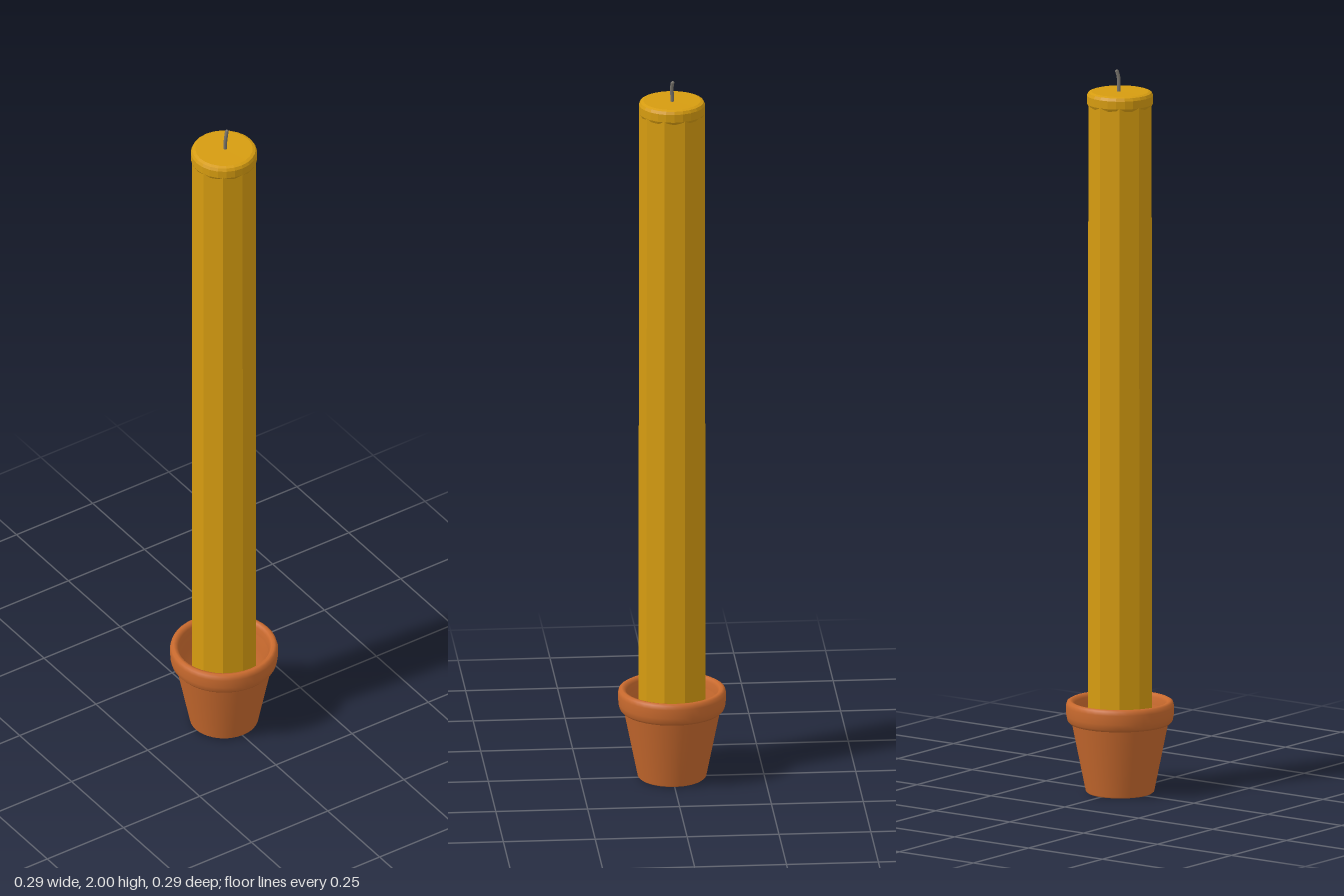
import * as THREE from 'three';

const terracotta = new THREE.MeshStandardMaterial({ color: 0xc96a2e });
terracotta.name = 'terracotta';
const wax = new THREE.MeshStandardMaterial({ color: 0xd69c10, flatShading: true });
wax.name = 'golden wax';
const cord = new THREE.MeshStandardMaterial({ color: 0x77736c });
cord.name = 'grey wick cord';

function part(name, geometry, material) {
  const mesh = new THREE.Mesh(geometry, material);
  mesh.name = name;
  return mesh;
}

function lathe(points, sides) {
  return new THREE.LatheGeometry(points.map(([r, y]) => new THREE.Vector2(r, y)), sides);
}

export function createModel() {
  const model = new THREE.Group();
  model.name = 'candleInPot';

  // Flower pot: tapered outside, overhanging rounded rim, hollow inside
  const pot = new THREE.Group();
  pot.name = 'pot';
  pot.add(part('potBase', lathe([[0, 0], [0.088, 0]], 40), terracotta));
  pot.add(part('potWall', lathe([[0.088, 0], [0.093, 0.004], [0.131, 0.192]], 40), terracotta));
  pot.add(part('potRim', lathe([
    [0.125, 0.194], [0.137, 0.193], [0.143, 0.2], [0.146, 0.215], [0.147, 0.24],
    [0.144, 0.251], [0.137, 0.255], [0.129, 0.253], [0.124, 0.245], [0.121, 0.225],
  ], 40), terracotta));
  pot.add(part('potInside', lathe([[0.121, 0.225], [0.113, 0.19], [0.086, 0.04], [0, 0.04]], 40), terracotta));
  model.add(pot);

  // Candle: long faceted shaft with a rounder shoulder on top
  const candle = new THREE.Group();
  candle.name = 'candle';
  const shaft = new THREE.CylinderGeometry(0.09, 0.091, 1.87, 10, 1, true);
  shaft.translate(0, 0.975, 0);
  candle.add(part('candleShaft', shaft, wax));
  candle.add(part('candleTop', lathe([
    [0.086, 1.9], [0.09, 1.908], [0.09, 1.93], [0.086, 1.938], [0.078, 1.941], [0, 1.94],
  ], 24), wax));
  model.add(candle);

  // Short, slightly bent wick
  const path = new THREE.CatmullRomCurve3([
    [0.004, 1.93, 0], [0.004, 1.955, 0], [0.006, 1.98, 0.001], [0.01, 1.997, -0.001],
  ].map((p) => new THREE.Vector3(...p)));
  const wick = new THREE.Group();
  wick.name = 'wick';
  wick.add(part('wickCord', new THREE.TubeGeometry(path, 10, 0.005, 8), cord));
  const tip = new THREE.SphereGeometry(0.005, 8, 6);
  tip.translate(0.01, 1.995, -0.001);
  wick.add(part('wickTip', tip, cord));
  model.add(wick);

  return model;
}
